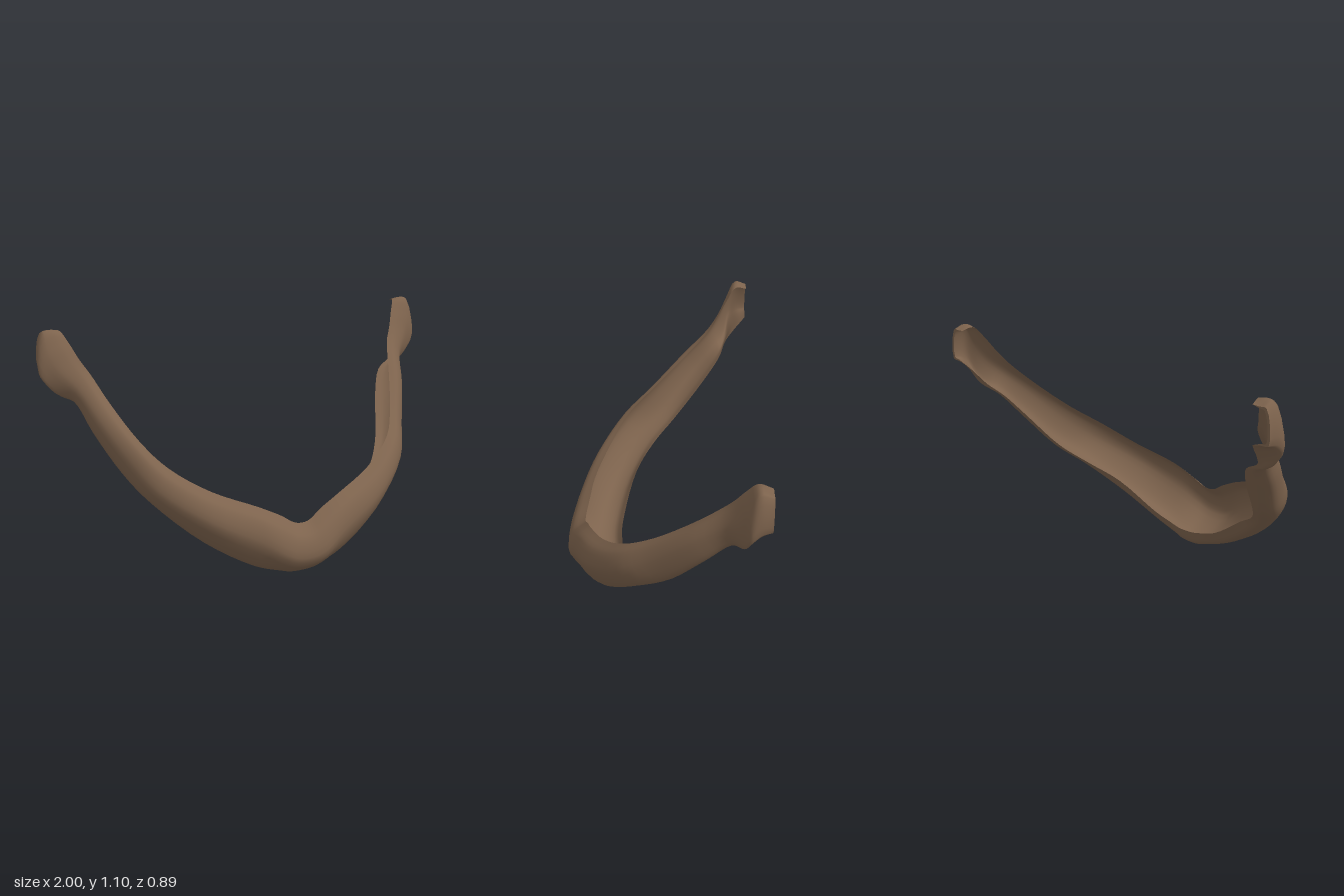
import * as THREE from 'three';

// Half-length stations, centre to tip: top edge, front bulge, lower bulge, rear edge
const STATIONS = [
  [[0.03, 0.268, 0.36], [0.04, 0.1, 0.443], [0.04, 0.003, 0.3], [0.04, 0.09, 0.185]],
  [[0.1, 0.31, 0.345], [0.1, 0.12, 0.438], [0.1, 0.022, 0.31], [0.1, 0.1, 0.19]],
  [[0.2, 0.36, 0.325], [0.21, 0.19, 0.405], [0.22, 0.068, 0.31], [0.2, 0.135, 0.18]],
  [[0.4, 0.44, 0.25], [0.425, 0.3, 0.33], [0.43, 0.19, 0.235], [0.4, 0.27, 0.12]],
  [[0.56, 0.54, 0.15], [0.625, 0.435, 0.18], [0.635, 0.37, 0.1], [0.54, 0.36, 0.03]],
  [[0.65, 0.64, 0.02], [0.712, 0.555, 0.035], [0.722, 0.48, -0.03], [0.63, 0.46, -0.08]],
  [[0.735, 0.79, -0.15], [0.8, 0.715, -0.12], [0.81, 0.645, -0.175], [0.705, 0.635, -0.225]],
  [[0.785, 0.9, -0.26], [0.858, 0.835, -0.25], [0.865, 0.775, -0.29], [0.77, 0.745, -0.31]],
  [[0.823, 0.965, -0.305], [0.925, 0.91, -0.315], [0.94, 0.815, -0.34], [0.855, 0.795, -0.345]],
  [[0.853, 1.03, -0.345], [0.965, 0.995, -0.35], [0.995, 0.885, -0.362], [0.88, 0.845, -0.385]],
  [[0.885, 1.087, -0.39], [0.97, 1.083, -0.39], [0.995, 0.92, -0.4], [0.89, 0.88, -0.415]],
  [[0.9, 1.075, -0.445], [0.968, 1.072, -0.445], [0.984, 0.925, -0.445], [0.905, 0.912, -0.445]],
];
const LENGTH_STEPS = 92, OUTER_STEPS = 20, THICKNESS = 0.14;

// One lengthwise rail, mirrored across x = 0
function rail(k) {
  const left = STATIONS.map((s) => new THREE.Vector3(...s[k]));
  const right = left.map((p) => new THREE.Vector3(-p.x, p.y, p.z)).reverse();
  return new THREE.CatmullRomCurve3([...right, ...left]);
}

// Smooth skin over rows of points
function skin(rows) {
  const n = rows[0].length, index = [];
  for (let i = 0; i < rows.length - 1; i++) {
    for (let j = 0; j < n - 1; j++) {
      const a = i * n + j, b = a + n;
      index.push(a, a + 1, b, b, a + 1, b + 1);
    }
  }
  const g = new THREE.BufferGeometry().setFromPoints(rows.flat());
  g.setIndex(index);
  g.computeVertexNormals();
  return g;
}

const midpoint = (a, b) => a.clone().lerp(b, 0.5);

export function createModel() {
  const group = new THREE.Group();
  group.name = 'jawBand';
  const brown = new THREE.MeshStandardMaterial({ color: 0x7d634d });
  brown.name = 'brown';

  const rails = [0, 1, 2, 3].map(rail);
  const outer = [], inner = [];
  for (let i = 0; i <= LENGTH_STEPS; i++) {
    const u = i / LENGTH_STEPS;
    const [top, front, low, rear] = rails.map((r) => r.getPoint(u));
    // full shoulders above the front bulge and under the rear edge, flatter at the tips
    const hub = midpoint(top, rear);
    const centre = midpoint(hub, midpoint(front, low));
    const fullness = 1 + 0.35 * (1 - (2 * u - 1) ** 4);
    const brow = centre.clone().lerp(midpoint(top, front), fullness);
    const heel = centre.clone().lerp(midpoint(low, rear), fullness);
    const section = new THREE.CatmullRomCurve3([top, brow, front, low, heel, rear]).getPoints(OUTER_STEPS);
    outer.push(section);
    // the hollow inside follows the outer surface and meets it at both edges
    inner.push(section.map((p, j) =>
      p.clone().lerp(hub, THICKNESS * Math.sin((Math.PI * j) / OUTER_STEPS))));
  }

  const add = (name, geometry) => {
    const mesh = new THREE.Mesh(geometry, brown);
    mesh.name = name;
    group.add(mesh);
  };
  add('outerSurface', skin(outer));
  add('innerHollow', skin(inner.map((row) => [...row].reverse())));
  add('rightTipRim', skin([inner[0], outer[0]]));
  add('leftTipRim', skin([outer[LENGTH_STEPS], inner[LENGTH_STEPS]]));
  return group;
}
